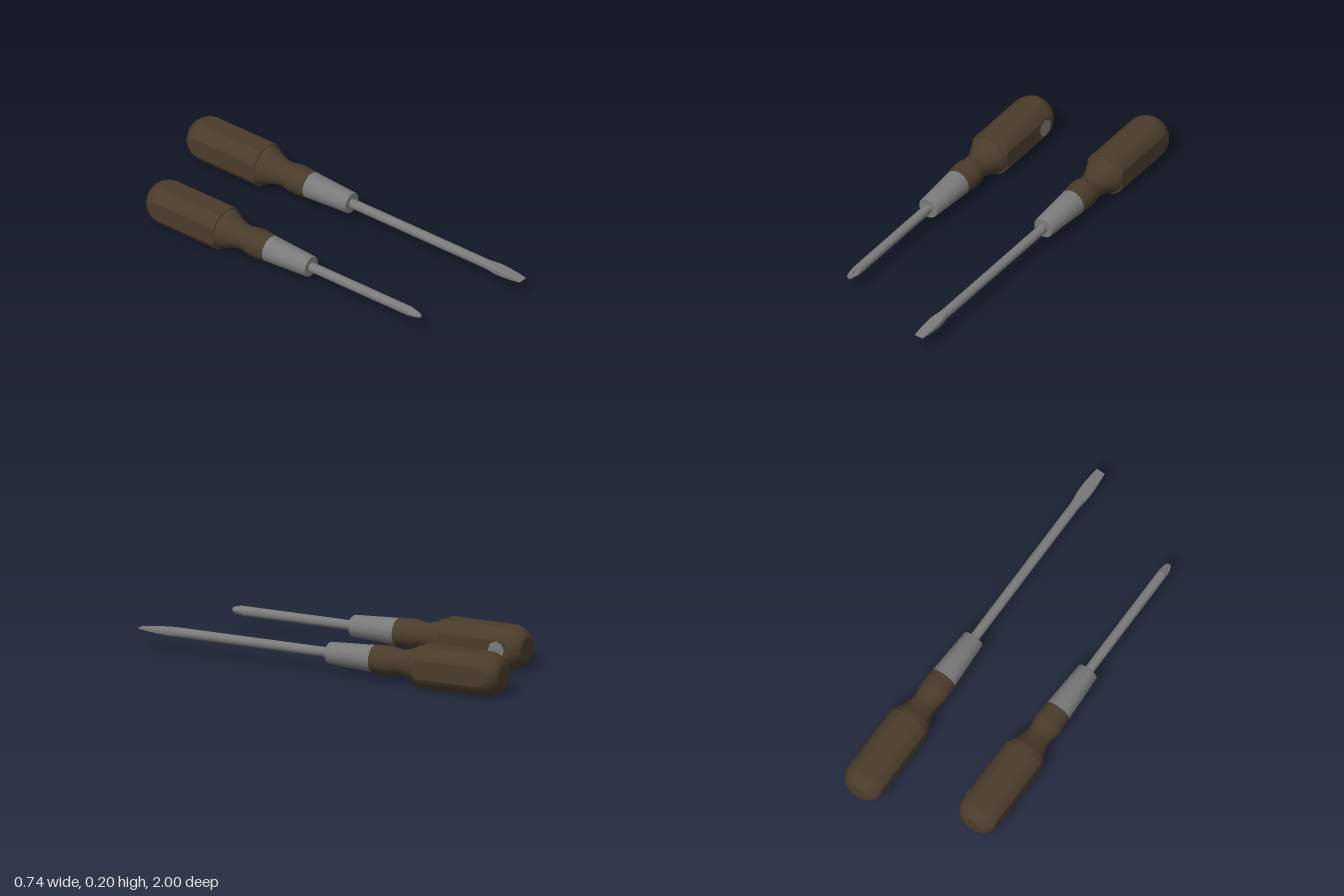
import * as THREE from 'three';
import { toCreasedNormals } from 'three/addons/utils/BufferGeometryUtils.js';

const HALF = 0.1;                                        // distance of the grip flats from the axis
const GRIP_R = HALF / Math.cos(THREE.MathUtils.degToRad(25));

const clamp = THREE.MathUtils.clamp;

// Turned part along z from [radius, z] points; rule may reshape each vertex
function turned(name, points, segments, material, rule, crease = 0.3) {
  const geo = new THREE.LatheGeometry(points.map(([r, z]) => new THREE.Vector2(r, z)), segments);
  geo.rotateX(Math.PI / 2);
  if (rule) {
    const p = geo.attributes.position;
    for (let i = 0; i < p.count; i++) {
      const [x, y] = rule(p.getX(i), p.getY(i), p.getZ(i));
      p.setXY(i, x, y);
    }
  }
  const mesh = new THREE.Mesh(toCreasedNormals(geo, crease), material);
  mesh.name = name;
  return mesh;
}

// Smooth run of [radius, z] points
function smooth(points, n) {
  const curve = new THREE.SplineCurve(points.map(([r, z]) => new THREE.Vector2(r, z)));
  return curve.getPoints(n).map(v => [v.x, v.y]);
}

// Grip, neck and ferrule shared by both drivers; the grip's back end is at z = 0
function driverBase(name, wood, steel) {
  const group = new THREE.Group();
  group.name = name;

  // Round grip cut by four flats
  const dome = smooth([[0.055, 0], [0.073, 0.009], [0.092, 0.031], [0.105, 0.058], [GRIP_R, 0.085]], 10);
  group.add(turned('grip',
    [[0, 0], ...dome, [GRIP_R, 0.432], [0.106, 0.44], [0.09, 0.44]],
    72, wood, (x, y) => [clamp(x, -HALF, HALF), clamp(y, -HALF, HALF)]));

  // Waisted neck
  const waist = smooth([[0.098, 0.44], [0.094, 0.46], [0.077, 0.495], [0.064, 0.54],
    [0.063, 0.575], [0.071, 0.615], [0.072, 0.65], [0.067, 0.71]], 24);
  group.add(turned('neck', [...waist, [0.05, 0.71]], 40, wood));

  // Tapered metal ferrule
  group.add(turned('ferrule',
    [[0.05, 0.709], [0.066, 0.709], [0.053, 0.953], [0.05, 0.958], [0.02, 0.958]], 32, steel, null, 0.5));
  return group;
}

export function createModel() {
  const wood = new THREE.MeshStandardMaterial({ color: 0x4a3c2b });
  wood.name = 'dark brown wood';
  const steel = new THREE.MeshStandardMaterial({ color: 0x7a7a7a });
  steel.name = 'grey steel';

  const model = new THREE.Group();
  model.name = 'screwdrivers';
  const R = 0.024;

  // Long driver with a flat blade
  const flat = driverBase('flatDriver', wood, steel);
  flat.add(turned('flatShaft', [[R, 0.95], [R, 1.785]], 20, steel));
  flat.add(turned('flatBlade',
    [[R, 1.785], [0.026, 1.81], [0.031, 1.85], [0.032, 1.9], [0.028, 1.95], [0.023, 2], [0, 2]],
    24, steel, (x, y, z) => {
      const t = THREE.MathUtils.mapLinear(z, 1.785, 2, R, 0.003);
      return [x, clamp(y, -t, t)];
    }));
  flat.position.set(0.27, HALF, -1);
  model.add(flat);

  // Short driver with a cross point
  const cross = driverBase('crossDriver', wood, steel);
  cross.add(turned('crossShaft', [[R, 0.95], [R, 1.56]], 24, steel));
  cross.add(turned('crossPoint',
    [[R, 1.56], [R, 1.575], [0.021, 1.595], [0.013, 1.62], [0, 1.628]],
    24, steel, (x, y, z) => {
      const depth = 0.4 * clamp((z - 1.56) / 0.025, 0, 1);
      const k = 1 - depth * Math.sin(2 * Math.atan2(y, x)) ** 2;
      return [x * k, y * k];
    }));

  // Small grey disc set in the inner flat of the grip
  const disc = new THREE.Mesh(new THREE.CylinderGeometry(0.044, 0.044, 0.004, 8), steel);
  disc.name = 'gripDisc';
  disc.rotation.z = -Math.PI / 2;
  disc.position.set(HALF, 0, 0.115);
  cross.add(disc);
  cross.position.set(-0.27, HALF, -0.817);
  model.add(cross);

  return model;
}
